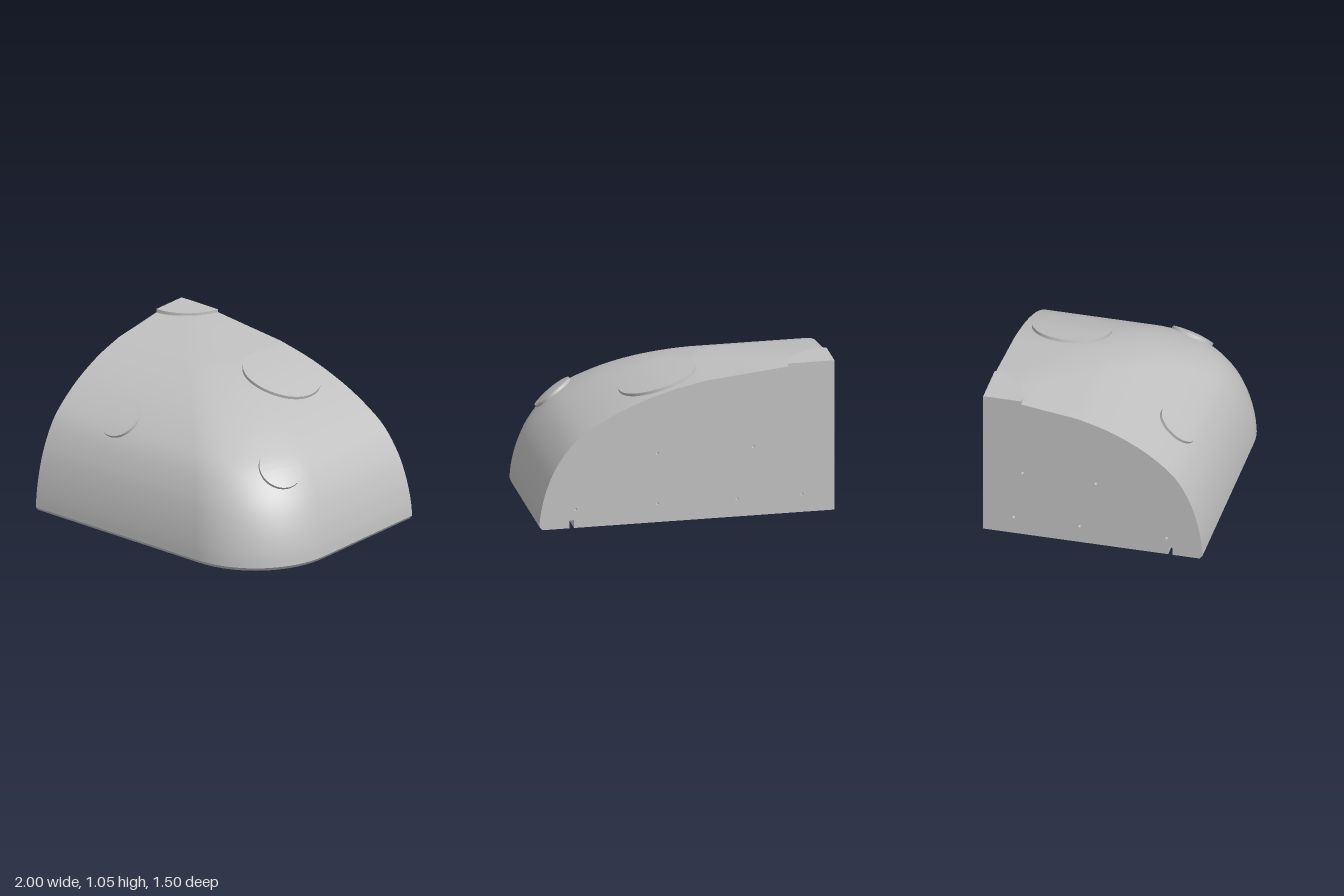
import * as THREE from 'three';

// Footprint measured from the inner corner: W along x, D along z, one rounded corner R
const W = 2, D = 1.5, R = 0.6;
const PIN = 0.01, GROOVE = [0.205, 0.235], GROOVE_TOP = 0.055;

// Dome profile: [scale of footprint, height]; flat top, straight slope, then a curve to the rim
const curved = new THREE.SplineCurve([
  [0.43, 0.974], [0.567, 0.912], [0.7, 0.817], [0.8, 0.715], [0.88, 0.6],
  [0.94, 0.44], [0.975, 0.28], [0.994, 0.13], [1, 0.025],
].map(([s, y]) => new THREE.Vector2(s, y)));
const profile = [[0, 1.036], [0.14, 1.035], [0.28, 1.005], ...curved.getPoints(32).map((p) => [p.x, p.y])];

// Open outline from the back wall round to the side wall, moved in by d
function outline(d) {
  const pts = [], r = R - d;
  for (let i = 0; i < 6; i++) pts.push([W - d, (D - R) * i / 6]);
  for (let i = 0; i <= 20; i++) {
    const a = i / 20 * Math.PI / 2;
    pts.push([W - R + r * Math.cos(a), D - R + r * Math.sin(a)]);
  }
  for (let i = 5; i >= 0; i--) pts.push([(W - R) * i / 6, D - d]);
  return pts;
}
const ring = (d, y, s = 1) => outline(d).map(([x, z]) => [x * s - W / 2, y, z * s - D / 2]);

// Surface through equal rows of points
function loft(rows) {
  const n = rows[0].length, index = [];
  for (let i = 0; i < rows.length - 1; i++) {
    for (let j = 0; j < n - 1; j++) {
      const a = i * n + j, b = a + n;
      index.push(a, a + 1, b, a + 1, b + 1, b);
    }
  }
  const g = new THREE.BufferGeometry();
  g.setAttribute('position', new THREE.Float32BufferAttribute(rows.flat(2), 3));
  g.setIndex(index);
  g.computeVertexNormals();
  return g;
}

// Height of the dome over a point
function height(x, z) {
  const X = x + W / 2, Z = z + D / 2, cx = W - R, cz = D - R;
  let s = Math.max(X / W, Z / D);
  if (Z * W > X * cz && Z * cx < X * D) {
    const a = cx * cx + cz * cz - R * R, b = cx * X + cz * Z;
    s = (b - Math.sqrt(Math.max(0, b * b - a * (X * X + Z * Z)))) / a;
  }
  for (let i = 1; i < profile.length; i++) {
    const [s0, y0] = profile[i - 1], [s1, y1] = profile[i];
    if (s <= s1) return y0 + (y1 - y0) * (s - s0) / (s1 - s0);
  }
  return -1;
}

// Round raised pad that follows the dome
function padRows(x, z, r) {
  const e = 0.04;
  const n = new THREE.Vector3(
    (height(x - e, z) - height(x + e, z)) / (2 * e), 1,
    (height(x, z - e) - height(x, z + e)) / (2 * e)).normalize();
  const centre = new THREE.Vector3(x, height(x, z), z);
  const u = new THREE.Vector3(n.y, -n.x, 0).normalize();
  const v = u.clone().cross(n);
  const circle = (rad, lift) => Array.from({ length: 49 }, (_, i) => {
    const a = i / 48 * Math.PI * 2;
    const p = centre.clone().addScaledVector(u, rad * Math.cos(a)).addScaledVector(v, rad * Math.sin(a));
    let lo = -0.2, hi = 0.2;
    for (let k = 0; k < 24; k++) {
      const t = (lo + hi) / 2, q = p.clone().addScaledVector(n, t);
      if (q.y > height(q.x, q.z)) hi = t; else lo = t;
    }
    return p.addScaledVector(n, lo + lift).toArray();
  });
  const top = [0, 0.2, 0.4, 0.6, 0.8, 1].map((f) => circle(r * f, 0.02));
  return { top, edge: [top[5], circle(r, -0.01)] };
}

export function createModel() {
  const model = new THREE.Group();
  const grey = new THREE.MeshStandardMaterial({ color: 0xc0c0c0, side: THREE.DoubleSide });
  grey.name = 'grey';
  const add = (name, geometry, parent = model) => {
    const mesh = new THREE.Mesh(geometry, grey);
    mesh.name = name;
    parent.add(mesh);
    return mesh;
  };

  // Dome shell and the chamfer round its foot
  add('dome', loft(profile.map(([s, y]) => ring(0, y, s))));
  add('rimChamfer', loft([ring(0, 0.025), ring(0.02, 0)]));

  // Underside with a groove parallel to the rim
  const [g0, g1] = GROOVE;
  const under = [['baseRim', 0.02, 0, g0, 0], ['grooveOuterWall', g0, 0, g0, GROOVE_TOP],
    ['grooveRoof', g0, GROOVE_TOP, g1, GROOVE_TOP], ['grooveInnerWall', g1, GROOVE_TOP, g1, 0]];
  for (const [name, d0, y0, d1, y1] of under) add(name, loft([ring(d0, y0), ring(d1, y1)]));
  add('baseCentre', loft([ring(g1, 0), ring(g1, 0, 0)]));

  // Flat cut walls with the groove notch and pin holes; dir mirrors the wall
  function wall(name, width, dir, pins, turn) {
    const group = new THREE.Group();
    group.name = name;
    const pts = [[0, 0], [width - g1, 0], [width - g1, GROOVE_TOP], [width - g0, GROOVE_TOP],
      [width - g0, 0], [width - 0.02, 0], ...profile.map(([s, y]) => [s * width, y]).reverse()];
    const shape = new THREE.Shape(pts.map(([a, y]) => new THREE.Vector2(a * dir, y)));
    for (const [a, y] of pins) {
      shape.holes.push(new THREE.Path().absarc(a * dir, y, PIN, 0, Math.PI * 2, true));
      const bore = new THREE.CylinderGeometry(PIN, PIN, 0.05, 16, 1, true).rotateX(Math.PI / 2);
      add('pinHole', bore, group).position.set(a * dir, y, -0.025);
      add('pinHoleEnd', new THREE.CircleGeometry(PIN, 16), group).position.set(a * dir, y, -0.05);
    }
    add(name + 'Face', new THREE.ShapeGeometry(shape, 8), group);
    group.position.set(-W / 2, 0, -D / 2);
    group.rotation.y = turn;
    model.add(group);
  }
  wall('backWall', W, -1,
    [[0.22, 0.125], [0.66, 0.125], [1.2, 0.13], [1.755, 0.13], [0.55, 0.485], [1.2, 0.485]], Math.PI);
  wall('sideWall', D, 1,
    [[0.21, 0.125], [0.66, 0.125], [1.255, 0.125], [0.27, 0.485], [0.77, 0.48]], -Math.PI / 2);

  // Round pads on the dome
  for (const [name, x, z, r] of [['largePad', 0.14, -0.43, 0.267],
    ['frontPad', -0.51, 0.46, 0.147], ['cornerPad', 0.705, 0.255, 0.147]]) {
    const { top, edge } = padRows(x, z, r);
    add(name + 'Top', loft(top));
    add(name + 'Edge', loft(edge));
  }

  // Top pad, cut off by both walls
  const sector = new THREE.Shape();
  const rad = 0.32, shift = 0.06, start = Math.asin(shift / rad);
  sector.moveTo(0, 0);
  sector.absarc(0, -shift, rad, start, Math.PI / 2, false);
  sector.lineTo(0, 0);
  const cap = new THREE.ExtrudeGeometry(sector, { depth: 0.042, bevelEnabled: false, curveSegments: 24 });
  cap.rotateX(Math.PI / 2);
  add('topPad', cap).position.set(-W / 2, 1.052, -D / 2);

  return model;
}
